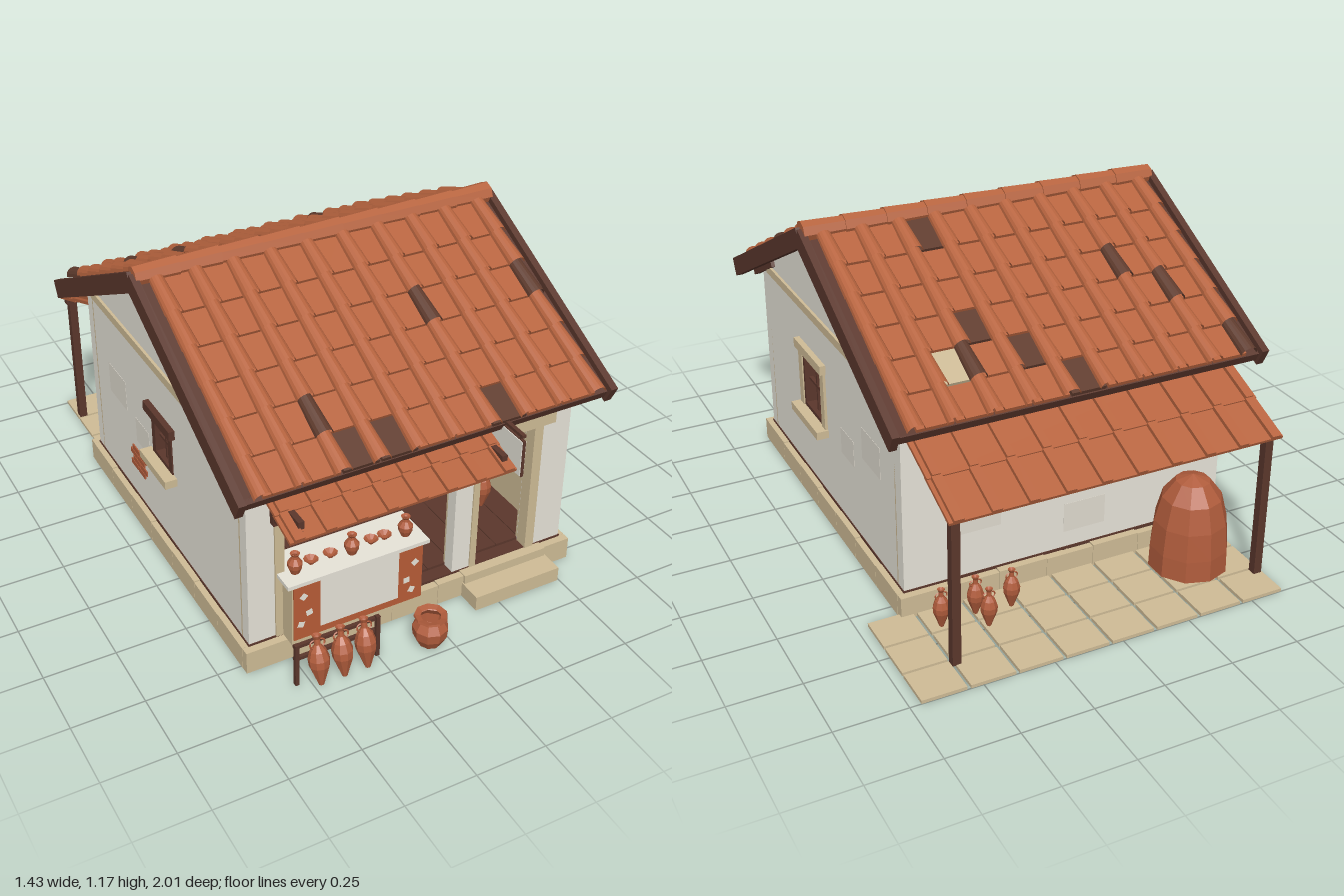
import * as THREE from 'three';

const mat = (name, color, double) => {
  const m = new THREE.MeshStandardMaterial({ color });
  m.name = name; m.flatShading = true;
  if (double) m.side = THREE.DoubleSide;
  return m;
};
const M = {
  plaster: mat('plaster', 0xe9e5da), patch: mat('worn plaster', 0xe0dbcf), stone: mat('sandstone', 0xcfbc96),
  tile: mat('roof tile', 0xb7643f, true), dark: mat('weathered tile', 0x603c2e, true), wood: mat('dark wood', 0x5b372c),
  clay: mat('pottery', 0xb05c3c, true), floor: mat('earth', 0x432c26), paint: mat('red paint', 0xb85c36), pale: mat('pale tile', 0xcbb995, true),
};

const add = (parent, name, geo, m, x = 0, y = 0, z = 0) => {
  const mesh = new THREE.Mesh(geo, m);
  mesh.name = name; mesh.position.set(x, y, z); parent.add(mesh);
  return mesh;
};
// box given by its min and max on each axis
const box = (p, name, m, x0, x1, y0, y1, z0, z1) =>
  add(p, name, new THREE.BoxGeometry(x1 - x0, y1 - y0, z1 - z0), m, (x0 + x1) / 2, (y0 + y1) / 2, (z0 + z1) / 2);
const group = (parent, name) => { const g = new THREE.Group(); g.name = name; parent.add(g); return g; };

// lathe profiles, height 1
const PROFILES = {
  amphora: [[0, 0], [.05, .01], [.11, .18], [.19, .4], [.2, .54], [.15, .7], [.06, .82], [.055, .93], [.09, 1], [.04, .97]],
  jug: [[0, 0], [.2, 0], [.32, .3], [.34, .52], [.16, .76], [.14, .88], [.22, 1], [.12, .96]],
  pot: [[0, 0], [.34, 0], [.5, .3], [.53, .6], [.38, .84], [.5, .94], [.48, 1], [.3, .95]],
  bowl: [[0, 0], [.5, 0], [.6, .3], [1.4, 1], [.5, .35], [0, .3]],
};
function vessel(p, kind, x, y, z, h, lean = 0) {
  const g = group(p, kind);
  g.position.set(x, y, z); g.rotation.x = lean;
  add(g, kind + 'Body', new THREE.LatheGeometry(PROFILES[kind].map(([r, t]) => new THREE.Vector2(r * h, t * h)), 9), M.clay);
  if (kind === 'amphora' || kind === 'jug') for (const s of [-1, 1])
    add(g, 'handle', new THREE.TorusGeometry(h * .075, h * .018, 4, 6, Math.PI), M.clay, s * h * .07, h * .83, 0).rotation.z = -s * Math.PI / 2;
}

// wall panel: local x runs along the wall, z points outward; s turns world coordinates into local
function wall(root, name, pts, holes, rotY, pos, s) {
  const g = group(root, name);
  g.rotation.y = rotY; g.position.set(...pos);
  const shape = new THREE.Shape(pts.map(([a, b]) => new THREE.Vector2(a * s, b)));
  for (const [a0, a1, b0, b1] of holes)
    shape.holes.push(new THREE.Path([[a0, b0], [a0, b1], [a1, b1], [a1, b0]].map(([a, b]) => new THREE.Vector2(a * s, b))));
  add(g, 'outerPlaster', new THREE.ExtrudeGeometry(shape, { depth: .045, bevelEnabled: false }), M.plaster);
  add(g, 'innerLining', new THREE.ExtrudeGeometry(shape, { depth: .008, bevelEnabled: false }), M.stone, 0, 0, -.008);
  return g;
}
// window frame, lintel, sill and bars around an opening (local wall coordinates)
function windowFrame(g, cx, w, y0, y1, trim, border) {
  const f = group(g, 'window'), a = cx - w / 2, b = cx + w / 2, t = .014;
  box(f, 'lintel', trim, a - .042, b + .042, y1, y1 + .035, .01, .067);
  box(f, 'sill', M.stone, a - .042, b + .042, y0 - .03, y0, .01, .09);
  for (const s of [-1, 1]) {
    const e = s < 0 ? a : b;
    if (border) box(f, 'surround', M.stone, e + Math.min(0, s * border), e + Math.max(0, s * border), y0, y1, .03, .055);
    box(f, 'jamb', M.wood, e - t, e + t, y0, y1, -.012, .05);
  }
  for (const y of [y0 + .005, y1 - .007]) box(f, 'rail', M.wood, a, b, y - .01, y + .01, -.012, .05);
  box(f, 'mullion', M.wood, cx - .005, cx + .005, y0, y1, .02, .034);
  box(f, 'crossbar', M.wood, a, b, (y0 + y1) / 2 - .005, (y0 + y1) / 2 + .005, .02, .034);
}

// one side of the main roof; local z runs down the slope, flip mirrors the columns
function roofSlope(roof, flip, odd) {
  const side = group(roof, flip < 0 ? 'backSlope' : 'frontSlope');
  if (flip < 0) side.rotation.y = Math.PI;
  const s = group(side, 'slope');
  s.rotation.x = Math.atan(.51);
  box(s, 'roofDeck', M.wood, -.665, .665, -.025, -.002, 0, .86);
  box(s, 'eaveBoard', M.wood, -.67, .67, -.036, -.002, .845, .865);
  for (const e of [-1, 1]) box(s, 'vergeBoard', M.wood, e * .674 - .013, e * .674 + .013, -.048, .02, 0, .876);
  for (let i = 0; i < 10; i++) box(s, 'rafterTail', M.wood, i * .136 - .622, i * .136 - .602, -.058, -.025, .6, .85);
  const cover = new THREE.CylinderGeometry(.031, .025, .15, 8, 1, true, Math.PI / 2, Math.PI).rotateX(Math.PI / 2);
  const pan = new THREE.BoxGeometry(.126, .014, .15);
  for (let r = 0; r < 6; r++) for (let c = 0; c < 10; c++) {
    const z = .112 + r * .137, x = flip * (c - 4.5) * .1346;
    const pick = k => M[odd[k + c + r]] || M.tile;
    add(s, 'coverTile', cover, pick('c'), x, .017, z).rotation.x = -.06;
    if (c < 9) add(s, 'panTile', pan, pick('p'), x + flip * .0673, .007, z - .007).rotation.x = -.08;
  }
}

// small lean-to roof of two overlapping courses with battens; z runs away from the wall
function leanTo(root, name, x0, x1, depth, angle, y, z, n) {
  const g = group(root, name);
  g.position.set((x0 + x1) / 2, y, z);
  const h = (x1 - x0) / 2, s = group(g, 'slope');
  s.rotation.x = angle;
  box(s, 'upperCourse', M.tile, -h, h, -.012, 0, 0, depth * .55);
  box(s, 'lowerCourse', M.tile, -h, h, -.016, -.005, depth * .5, depth);
  for (let i = 0; i < n; i++) {
    const x = -h + .03 + i * (2 * h - .06) / (n - 1);
    box(s, 'upperBatten', M.tile, x - .014, x + .014, 0, .014, 0, depth * .55);
    box(s, 'lowerBatten', M.tile, x - .017, x + .017, -.005, .009, depth * .55, depth + .004);
  }
  return g;
}

export function createModel() {
  const root = new THREE.Group(); root.name = 'potteryShop';

  // plinth stones around a raised floor
  const base = group(root, 'plinth');
  box(base, 'floorUnderside', M.floor, -.64, .575, .066, .08, -.56, .765);
  box(base, 'floorEdge', M.wood, -.643, .578, .08, .09, -.558, .763);
  for (let i = 0; i < 12; i++) box(base, 'floorBoard', M.wood, -.595 + i * .0938, -.504 + i * .0938, .09, .1, -.51, .715);
  for (let i = 0; i < 7; i++) {
    const w = 1.265 / 7, x = -.665 + i * w, d = 1.315 / 7, z = -.555 + i * d;
    for (const [a, b] of [[.76, .79], [-.585, -.555]]) box(base, 'plinthStone', M.stone, x + .0008, x + w - .0008, 0, .083 - (i % 2) * .003, a, b);
    for (const [a, b] of [[-.665, -.635], [.57, .6]]) box(base, 'plinthStone', M.stone, a, b, 0, .083 - (i % 2) * .003, z + .0008, z + d - .0008);
  }
  box(root, 'lowerStep', M.stone, .155, .495, 0, .055, .79, .88);
  box(root, 'doorSill', M.stone, .16, .49, .055, .088, .74, .8);

  // walls with openings
  const long = [[-.64, .085], [.575, .085], [.575, .76], [-.64, .76]];
  const gable = [[-.51, .085], [.715, .085], [.715, .782], [.1, 1.095], [-.51, .784]];
  const front = wall(root, 'frontWall', long, [[-.52, .13, .088, .615], [.215, .43, .088, .605]], 0, [0, 0, .715], 1);
  const back = wall(root, 'backWall', long, [[.035, .135, .395, .56]], Math.PI, [0, 0, -.51], -1);
  const right = wall(root, 'rightWall', gable, [[.15, .335, .36, .585]], Math.PI / 2, [.53, 0, 0], -1);
  const left = wall(root, 'leftWall', gable, [[.04, .18, .4, .56]], -Math.PI / 2, [-.595, 0, 0], 1);
  windowFrame(right, -.2425, .185, .362, .585, M.stone, .035);
  windowFrame(back, -.085, .1, .395, .56, M.wood, 0);
  windowFrame(left, .11, .14, .4, .56, M.wood, 0);
  for (const [g, s] of [[right, -1], [left, 1]]) {
    box(g, 'gableBeam', M.stone, s * .1 - .59, s * .1 + .59, .755, .787, .03, .055);
    for (const [a, y, w, h] of [[-.3, .42, .16, .12], [-.08, .34, .12, .1]])
      box(g, 'plasterPatch', M.patch, s * a - w / 2, s * a + w / 2, y, y + h, .044, .046);
  }
  for (const [a, y] of [[.35, .4], [-.3, .25], [.1, .15]]) box(back, 'plasterPatch', M.patch, a - .08, a + .08, y, y + .11, .044, .046);
  for (let r = 0; r < 4; r++) for (let c = 0; c < 2; c++) {
    const z = -.2 + c * .065 + (r % 2) * .02;
    box(left, 'exposedBrick', M.clay, z, z + .06, .21 + r * .024, .23 + r * .024, .04, .05);
  }

  // door and shop trim
  box(front, 'doorLintel', M.stone, .2, .5, .602, .648, .02, .065);
  box(front, 'doorJamb', M.stone, .427, .462, .088, .602, .005, .052);
  box(front, 'doorJamb', M.stone, .198, .222, .088, .602, .005, .05);
  box(front, 'shopJamb', M.stone, -.545, -.512, .088, .615, .005, .052);
  box(front, 'shopLintel', M.wood, -.53, .14, .607, .63, .005, .052);

  // main roof
  const roof = group(root, 'mainRoof');
  roof.position.set(-.033, 1.13, .1);
  roofSlope(roof, 1, { c62: 'dark', c92: 'dark', c24: 'dark', p25: 'dark', p35: 'dark', p65: 'dark' });
  roofSlope(roof, -1, { p60: 'dark', c22: 'dark', c13: 'dark', p63: 'dark', p54: 'dark', c74: 'dark', p74: 'pale', p45: 'dark', c05: 'dark' });
  for (let i = 0; i < 9; i++)
    add(roof, 'ridgeTile', new THREE.CylinderGeometry(.036, .041, .152, 8).rotateZ(Math.PI / 2), M.tile, (i - 4) * .149, .002, 0);

  // front awning on brackets
  leanTo(root, 'frontAwning', -.6, .2, .232, .29, .71, .76, 8);
  for (const x of [-.55, .17]) {
    box(root, 'awningPost', M.wood, x - .01, x + .01, .555, .69, .765, .79);
    add(root, 'awningBrace', new THREE.BoxGeometry(.016, .016, .2), M.wood, x, .605, .865).rotation.x = -.35;
    box(root, 'awningHook', M.wood, x - .01, x + .01, .655, .682, .89, .955);
  }
  box(root, 'awningRail', M.wood, -.58, .19, .626, .638, .93, .95);

  // hanging blank board by the door
  box(root, 'signArm', M.wood, .222, .236, .736, .747, .76, .967);
  box(root, 'signCore', M.wood, .225, .235, .59, .725, .8, .97);
  for (const x of [.2235, .2365]) box(root, 'signFace', M.plaster, x - .0015, x + .0015, .593, .722, .803, .967);
  for (const z of [.82, .95]) box(root, 'signHook', M.wood, .226, .234, .72, .74, z - .003, z + .003);

  // sales counter
  const counter = group(root, 'counter');
  box(counter, 'counterBody', M.stone, -.52, -.04, .09, .335, .69, .83);
  box(counter, 'counterTop', M.plaster, -.54, -.022, .333, .347, .67, .845);
  box(counter, 'centrePanel', M.plaster, -.42, -.13, .135, .333, .829, .834);
  for (const [a, b] of [[-.515, -.42], [-.13, -.04]]) box(counter, 'paintedPanel', M.paint, a, b, .11, .333, .829, .834);
  box(counter, 'paintedBase', M.paint, -.42, -.13, .11, .135, .829, .834);
  for (const [i, [x, y]] of [[-.48, .28], [-.46, .21], [-.49, .17], [-.07, .265], [-.1, .2], [-.08, .155]].entries())
    add(counter, 'flakedPlaster', new THREE.CircleGeometry(.016, 4), M.plaster, x, y, .8355).rotation.z = i;
  for (const x of [-.485, -.28, -.08]) vessel(counter, 'jug', x, .347, .785, .075);
  for (const x of [-.42, -.35, -.2, -.15]) vessel(counter, 'bowl', x, .347, .77, .018);

  // shelves and hanging jugs inside
  const shelf = group(root, 'shelves');
  for (const x of [-.505, -.055]) box(shelf, 'shelfPost', M.wood, x - .006, x + .006, .09, .61, -.46, -.44);
  for (const y of [.385, .515]) {
    box(shelf, 'shelfBoard', M.wood, -.51, -.05, y - .012, y, -.515, -.41);
    for (const x of y < .4 ? [-.38, -.235, -.115] : [-.435, -.38, -.245, -.115, -.07]) vessel(shelf, 'jug', x, y, -.455, .065);
  }
  box(shelf, 'lowShelf', M.wood, -.04, .13, .255, .27, -.515, -.4);
  for (const x of [-.015, .01]) vessel(shelf, 'bowl', x, .27, -.45, .024);
  for (const x of [-.315, -.19, .05]) {
    vessel(shelf, 'jug', x, .525, .74, .06);
    box(shelf, 'cord', M.wood, x - .002, x + .002, .58, .615, .738, .742);
  }
  box(shelf, 'windowShelf', M.wood, .465, .522, .43, .44, .14, .26);
  vessel(shelf, 'jug', .495, .44, .2, .06);
  for (const x of [.355, .42]) vessel(shelf, 'amphora', x, .1, .5, .17);

  // rack of amphorae and a large pot in front
  const rack = group(root, 'amphoraRack');
  for (const x of [-.545, -.25]) box(rack, 'rackPost', M.wood, x - .007, x + .007, 0, .165, .9, .915);
  for (const y of [.1, .15]) box(rack, 'rackRail', M.wood, -.55, -.245, y - .006, y + .006, .892, .905);
  for (const x of [-.48, -.395, -.31]) vessel(rack, 'amphora', x, .01, .955, .182, -.2);
  vessel(root, 'pot', -.07, .01, .945, .115);

  // rear patio, porch, kiln and jars
  const patio = group(root, 'patio');
  for (let r = 0; r < 3; r++) for (let c = 0; c < 8; c++)
    box(patio, 'pavingSlab', M.stone, -.62 + c * .168, -.465 + c * .168, 0, .012, -1 + r * .148, -.862 + r * .148);
  leanTo(root, 'rearPorch', -.635, .57, .385, .376, .7, -.555, 10).rotation.y = Math.PI;
  for (const x of [-.6, .54]) box(root, 'porchPost', M.wood, x - .015, x + .015, .01, .555, -.89, -.86);
  box(root, 'porchBeam', M.wood, -.625, .56, .535, .556, -.888, -.862);
  add(root, 'kiln', new THREE.LatheGeometry([[0, 0], [.14, 0], [.138, .08], [.128, .18], [.105, .27], [.06, .33], [0, .352]]
    .map(([a, b]) => new THREE.Vector2(a, b)), 10), M.clay, -.425, .012, -.72);
  for (const [x, z] of [[.245, -.685], [.36, -.75], [.37, -.67], [.5, -.685]]) vessel(root, 'amphora', x, .012, z, .145);
  return root;
}
